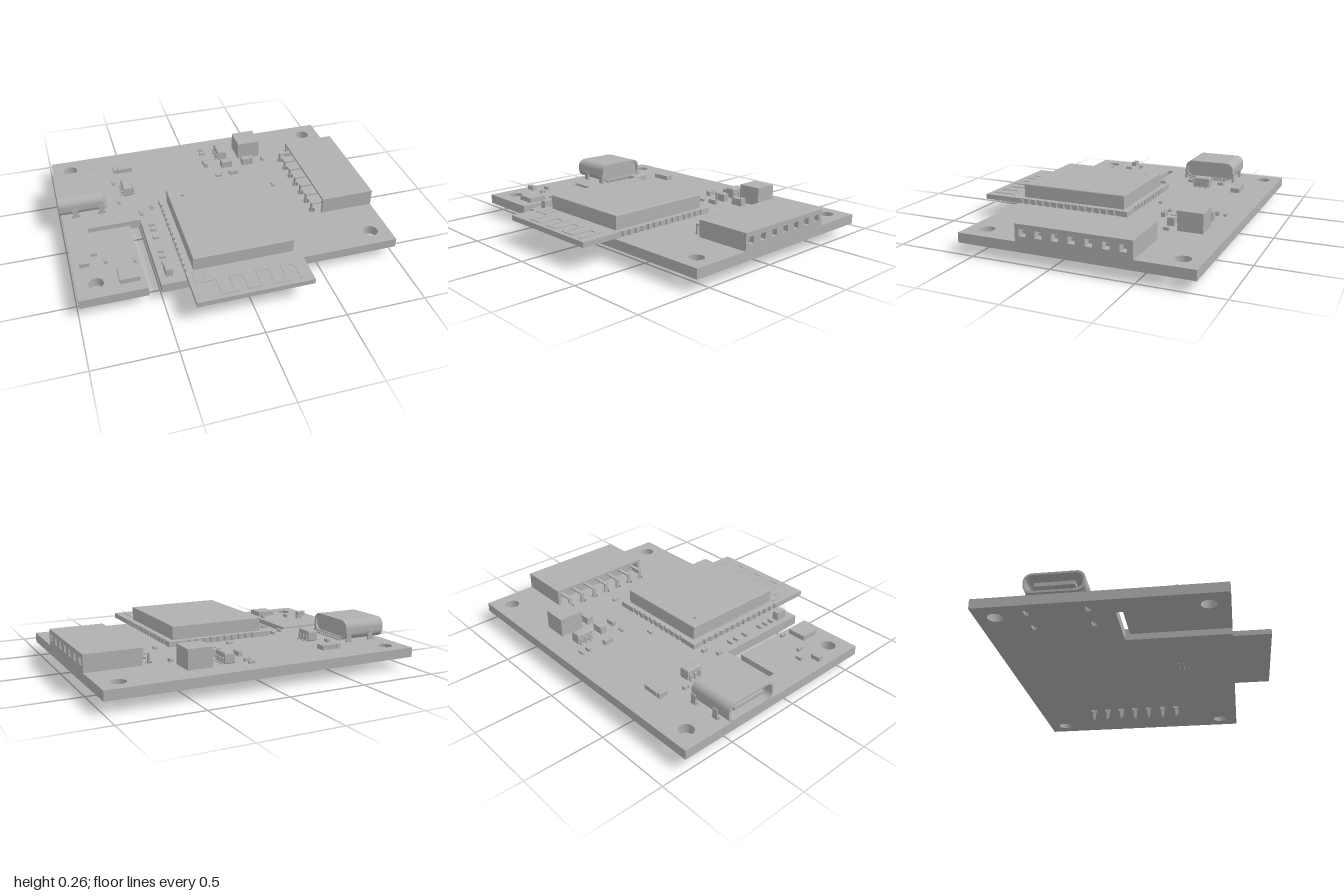
import * as THREE from 'three';

const grey = new THREE.MeshStandardMaterial({ color: 0xb0b0b0 });
grey.name = 'plain grey';
const TOP = 0.13; // upper face of the main board

export function createModel() {
  const root = new THREE.Group();
  root.name = 'circuitBoard';

  const add = (name, geo, parent = root) => {
    const m = new THREE.Mesh(geo, grey);
    m.name = name;
    parent.add(m);
    return m;
  };
  const group = (name) => {
    const g = new THREE.Group();
    g.name = name;
    root.add(g);
    return g;
  };
  // box given by its limits
  const box = (name, x0, x1, y0, y1, z0, z1, parent) => add(name,
    new THREE.BoxGeometry(x1 - x0, y1 - y0, z1 - z0)
      .translate((x0 + x1) / 2, (y0 + y1) / 2, (z0 + z1) / 2), parent);
  // plan outline given as [x, z], raised from y0 to y1
  const plan = (pts) => new THREE.Shape(pts.map(([x, z]) => new THREE.Vector2(x, -z)));
  const rect = (x0, x1, z0, z1) => plan([[x0, z0], [x0, z1], [x1, z1], [x1, z0]]);
  const circle = (x, z, r) => new THREE.Path().absarc(x, -z, r, 0, Math.PI * 2, true);
  const slab = (shape, y0, y1, bevel = 0) => new THREE.ExtrudeGeometry(shape, {
    depth: y1 - y0 - bevel, bevelEnabled: bevel > 0, bevelThickness: bevel,
    bevelSize: bevel, bevelOffset: -bevel, bevelSegments: 2, curveSegments: 12,
  }).rotateX(-Math.PI / 2).translate(0, y0, 0);
  // cross-section in (-z, y), drawn out along x
  const alongX = (shape, x0, x1) => new THREE.ExtrudeGeometry(shape,
    { depth: x1 - x0, bevelEnabled: false, curveSegments: 8 })
    .rotateY(Math.PI / 2).translate(x0, 0, 0);

  const pinZ = Array.from({ length: 7 }, (_, i) => -0.437 + i * 0.1008);
  const legX = [-0.9, -0.73], legZ = [-0.535, -0.185];

  // main board with slot, mounting holes, pin holes and vias
  const board = plan([[-0.99, -0.835], [-0.99, 0.595], [-0.58, 0.595], [-0.58, 0], [-0.845, 0],
    [-0.845, -0.04], [-0.505, -0.04], [-0.505, 0.595], [1, 0.595], [1, -0.835]]);
  for (const x of [-0.87, 0.88]) for (const z of [-0.72, 0.475]) board.holes.push(circle(x, z, 0.046));
  for (const z of pinZ) board.holes.push(circle(0.6, z, 0.024));
  for (const x of legX) for (const z of legZ) board.holes.push(rect(x - 0.026, x + 0.026, z - 0.012, z + 0.012));
  for (let i = 0; i < 4; i++) for (let j = 0; j < 3; j++) {
    board.holes.push(circle(-0.135 + i * 0.03, 0.25 + j * 0.03, 0.005));
  }
  add('mainBoard', slab(board, 0.07, TOP));

  // radio module: carrier with scalloped edges
  const module = group('radioModule');
  const L = -0.353, R = 0.36, B = -0.18, F = 0.83;
  const edge = [];
  const notch = (cx, cz, a0) => {
    for (let k = 0; k <= 4; k++) {
      const a = a0 - (k * Math.PI) / 4;
      edge.push([cx + 0.011 * Math.cos(a), cz + 0.011 * Math.sin(a)]);
    }
  };
  edge.push([L, B]);
  for (let i = 0; i < 14; i++) notch(L, -0.1 + i * 0.05, Math.PI * 2.5 - Math.PI * 3);
  // each left scallop bulges inward, so run it from back to front
  for (let i = 0; i < 14; i++) {
    edge.splice(1 + i * 5, 5, ...[-2, -1, 0, 1, 2].map((k) => {
      const a = (k * Math.PI) / 4;
      return [L + 0.011 * Math.cos(a), -0.1 + i * 0.05 + 0.011 * Math.sin(a)];
    }));
  }
  edge.push([L, F], [R, F]);
  for (let i = 13; i >= 0; i--) {
    for (let k = 2; k >= -2; k--) {
      const a = (k * Math.PI) / 4;
      edge.push([R - 0.011 * Math.cos(a), -0.1 + i * 0.05 + 0.011 * Math.sin(a)]);
    }
  }
  edge.push([R, B]);
  for (let i = 9; i >= 0; i--) {
    for (let k = 2; k >= -2; k--) {
      const a = (k * Math.PI) / 4;
      edge.push([-0.22 + i * 0.05 + 0.011 * Math.sin(a), B + 0.011 * Math.cos(a)]);
    }
  }
  add('moduleCarrier', slab(plan(edge), TOP + 0.003, 0.166), module);
  // shield can with a pinhole
  const can = rect(-0.305, 0.32, -0.14, 0.56);
  can.holes.push(circle(-0.22, -0.06, 0.01));
  add('shieldCan', slab(can, 0.166, 0.255, 0.006), module);
  // antenna meander
  const trace = (x0, x1, z0, z1) => box('antennaTrace', x0, x1, 0.166, 0.17, z0, z1, module);
  const T = 0.024;
  for (let i = 0; i < 7; i++) {
    const x = -0.2 + i * 0.08;
    trace(x, x + T, 0.65, 0.8);
    if (i < 6) {
      const z = i % 2 ? 0.65 : 0.776;
      trace(x + T, x + 0.08, z, z + T);
    }
  }
  trace(-0.32, -0.2, 0.65, 0.674);
  for (const x of [-0.32, -0.26]) trace(x, x + T, 0.58, 0.65);

  // pin socket: front with square openings, hollow at the back
  const socket = group('pinSocket');
  const zA = -0.49, zB = 0.215;
  const face = new THREE.Shape([[-zB, TOP], [-zA, TOP], [-zA, 0.235], [-zB, 0.235]]
    .map((p) => new THREE.Vector2(...p)));
  for (const z of pinZ) {
    const s = 0.021, c = 0.185;
    face.holes.push(new THREE.Path([[-z - s, c - s], [-z - s, c + s], [-z + s, c + s], [-z + s, c - s]]
      .map((p) => new THREE.Vector2(...p))));
  }
  add('socketFront', alongX(face, 0.9, 1), socket);
  box('socketBody', 0.72, 0.9, TOP, 0.235, zA, zB, socket);
  box('socketRoof', 0.655, 0.72, 0.22, 0.235, zA, zB, socket);
  for (const z of [zA, zB - 0.02]) box('socketCheek', 0.655, 0.72, TOP, 0.22, z, z + 0.02, socket);
  for (const z of pinZ) {
    box('pinArm', 0.596, 0.73, 0.181, 0.19, z - 0.012, z + 0.012, socket);
    box('pinLeg', 0.594, 0.603, 0.02, 0.19, z - 0.012, z + 0.012, socket);
    box('pinTip', 0.594, 0.603, 0, 0.02, z - 0.007, z + 0.007, socket);
    box('pinContact', 0.9, 0.975, 0.175, 0.195, z - 0.01, z + 0.01, socket);
  }

  // charging port: rounded hollow shell, open toward the board edge
  const port = group('chargingPort');
  const round = (x0, x1, y0, y1, r, S) => new S()
    .moveTo(x0 + r, y0).lineTo(x1 - r, y0).absarc(x1 - r, y0 + r, r, -Math.PI / 2, 0)
    .lineTo(x1, y1 - r).absarc(x1 - r, y1 - r, r, 0, Math.PI / 2)
    .lineTo(x0 + r, y1).absarc(x0 + r, y1 - r, r, Math.PI / 2, Math.PI)
    .lineTo(x0, y0 + r).absarc(x0 + r, y0 + r, r, Math.PI, Math.PI * 1.5);
  const shell = round(0.185, 0.535, 0.137, 0.262, 0.05, THREE.Shape);
  shell.holes.push(round(0.197, 0.523, 0.149, 0.25, 0.042, THREE.Path));
  add('portShell', alongX(shell, -1, -0.71), port);
  add('portBack', alongX(round(0.196, 0.524, 0.148, 0.251, 0.042, THREE.Shape), -0.78, -0.725), port);
  box('portTongue', -0.98, -0.78, 0.188, 0.211, -0.475, -0.245, port);
  for (const x of legX) for (const z of legZ) {
    box('portLeg', x - 0.018, x + 0.018, 0.085, 0.19, z - 0.006, z + 0.006, port);
  }
  for (let i = 0; i < 12; i++) {
    const z = -0.485 + i * 0.0227;
    box('portContact', -0.73, -0.69, TOP, 0.142, z, z + 0.012, port);
  }

  // six-legged chips
  for (const [x, z] of [[0.2, -0.62], [-0.53, -0.37]]) {
    const chip = group('sixLegChip');
    add('chipBody', slab(rect(x - 0.031, x + 0.031, z - 0.055, z + 0.055), 0.138, 0.197, 0.01), chip);
    for (const s of [-1, 1]) for (const dz of [-0.036, 0, 0.036]) {
      const leg = (a, b, y0, y1) => box('chipLeg', x + Math.min(s * a, s * b), x + Math.max(s * a, s * b),
        y0, y1, z + dz - 0.008, z + dz + 0.008, chip);
      leg(0.028, 0.041, 0.16, 0.168);
      leg(0.035, 0.041, TOP, 0.168);
      leg(0.035, 0.052, TOP, 0.137);
    }
  }

  // larger single blocks: [x0, x1, z0, z1, height]
  const blocks = [['inductor', 0.315, 0.47, -0.695, -0.54, 0.121], ['sensor', -0.735, -0.615, 0.4, 0.52, 0.032],
    ['diode', -0.55, -0.45, -0.655, -0.595, 0.03], ['diodeBand', -0.58, -0.553, -0.655, -0.595, 0.03],
    ['capacitorBlock', -0.465, -0.423, 0.46, 0.535, 0.053]];
  for (const [name, x0, x1, z0, z1, h] of blocks) box(name, x0, x1, TOP, TOP + h, z0, z1);

  // small parts with end caps: [centre x, centre z, length x, length z, height]
  const parts = [[0.08, -0.715, 0.04, 0.017, 0.015], [0.08, -0.664, 0.04, 0.02, 0.02],
    [0.065, -0.525, 0.027, 0.06, 0.03], [0.208, -0.478, 0.076, 0.044, 0.05],
    [0.36, -0.473, 0.08, 0.044, 0.05], [0.48, -0.478, 0.02, 0.034, 0.02],
    [0.123, -0.372, 0.042, 0.02, 0.015], [0.227, -0.372, 0.06, 0.027, 0.03],
    [-0.022, -0.254, 0.04, 0.019, 0.015], [0.45, -0.165, 0.019, 0.038, 0.015],
    [-0.605, -0.48, 0.02, 0.038, 0.02], [-0.605, -0.26, 0.02, 0.038, 0.02],
    [-0.407, -0.143, 0.02, 0.038, 0.02], [-0.486, -0.094, 0.02, 0.038, 0.02],
    [-0.915, 0.304, 0.06, 0.032, 0.03], [-0.847, 0.224, 0.04, 0.02, 0.02],
    [-0.786, 0.302, 0.02, 0.038, 0.02], [-0.614, 0.342, 0.017, 0.036, 0.02]];
  for (const z of [0.04, 0.092, 0.172, 0.308, 0.362, 0.414]) parts.push([-0.446, z, 0.038, 0.018, 0.018]);
  for (const [x, z, lx, lz, h] of parts) {
    const g = group('smallPart');
    const long = Math.max(lx, lz), wide = Math.min(lx, lz), cap = long * 0.25;
    box('partBody', -long / 2 + cap, long / 2 - cap, 0, h * 0.92, -wide * 0.46, wide * 0.46, g);
    for (const s of [-1, 1]) {
      const c = s * (long - cap) / 2;
      box('partCap', c - cap / 2, c + cap / 2, 0, h, -wide / 2, wide / 2, g);
    }
    g.position.set(x, TOP, z);
    if (lz > lx) g.rotation.y = Math.PI / 2;
  }
  return root;
}
